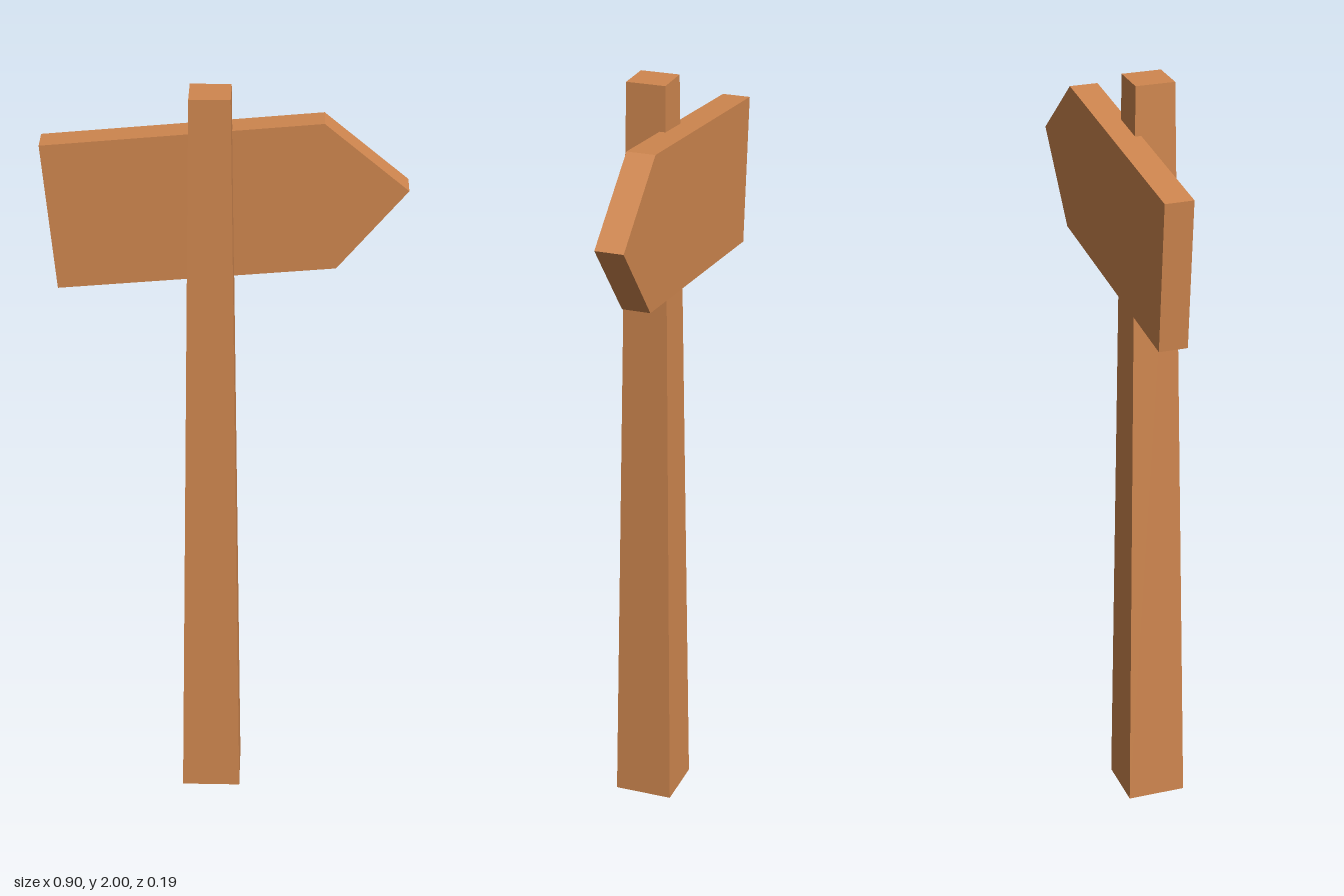
import * as THREE from 'three';

export function createModel() {
  const group = new THREE.Group();
  const wood = new THREE.MeshStandardMaterial({ color: 0xd0874f, flatShading: true });

  // Square post, tapering towards the top
  const height = 2, topHalf = 0.0505, bottomHalf = 0.077;
  const postGeometry = new THREE.CylinderGeometry(
    topHalf * Math.SQRT2, bottomHalf * Math.SQRT2, height, 4);
  postGeometry.rotateY(Math.PI / 4);
  const post = new THREE.Mesh(postGeometry, wood);
  post.name = 'post';
  post.position.set(-0.036, height / 2, 0.0155);
  group.add(post);

  // Tilted arrow board let into the back of the post
  const outline = [[-0.455, 1.84], [-0.42, 1.455], [0.275, 1.518], [0.45, 1.73], [0.24, 1.905]];
  const shape = new THREE.Shape(outline.map(([x, y]) => new THREE.Vector2(x, y)));
  const board = new THREE.Mesh(
    new THREE.ExtrudeGeometry(shape, { depth: 0.073, bevelEnabled: false }), wood);
  board.name = 'arrowBoard';
  board.position.z = -0.094;
  group.add(board);

  return group;
}
